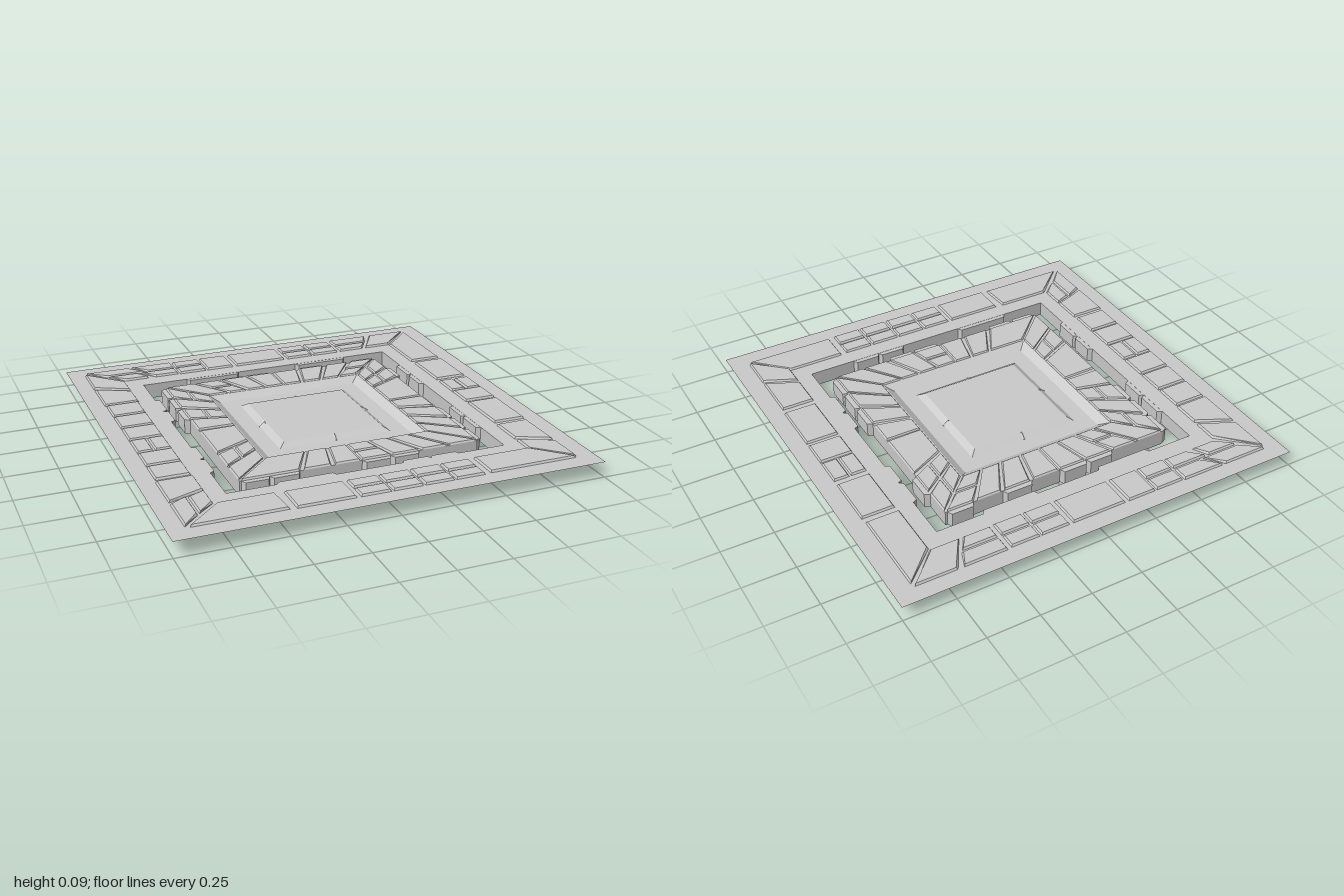
import * as THREE from 'three';

const GROUND = 0.075, TOP = 0.085;
const material = new THREE.MeshStandardMaterial({ color: 0xcccccc, flatShading: true, side: THREE.DoubleSide });

// Places (t along, r outwards) on one of the four sides, as [x, z]
const SIDES = {
  front: (t, r) => [t, r],
  back: (t, r) => [t, -r],
  left: (t, r) => [r, t],
  right: (t, r) => [-r, t],
};

function add(parent, geometry, name) {
  const mesh = new THREE.Mesh(geometry, material);
  mesh.name = name;
  parent.add(mesh);
  return mesh;
}

// Square sheet swept around y from a profile of [half width, height]
function squareSheet(parent, profile, name) {
  const points = profile.map(([r, y]) => new THREE.Vector2(r * Math.SQRT2, y));
  return add(parent, new THREE.LatheGeometry(points, 4, Math.PI / 4), name);
}

// Stone with an [x, z] outline whose upper edge is drawn in by a small bevel
function stone(parent, outline, y0, y1, bevel, name) {
  const shape = new THREE.Shape(outline.map(([x, z]) => new THREE.Vector2(x, -z)));
  const geometry = new THREE.ExtrudeGeometry(shape, { depth: y1 - y0, bevelEnabled: false });
  geometry.rotateX(-Math.PI / 2).translate(0, y0, 0);
  const cx = outline.reduce((s, p) => s + p[0], 0) / outline.length;
  const cz = outline.reduce((s, p) => s + p[1], 0) / outline.length;
  const pos = geometry.attributes.position;
  for (let i = 0; i < pos.count; i++) {
    if (pos.getY(i) < y1 - 1e-4) continue;
    const x = pos.getX(i), z = pos.getZ(i);
    pos.setX(i, x - Math.sign(x - cx) * bevel);
    pos.setZ(i, z - Math.sign(z - cz) * bevel);
  }
  geometry.computeVertexNormals();
  return add(parent, geometry, name);
}

// Paving set into the outer border: [t0, t1, rows] rectangles
const PAVING = {
  back: [[-0.45, -0.31, 2], [-0.3, -0.16, 1], [-0.14, 0.13, 1], [0.15, 0.29, 2], [0.3, 0.44, 2]],
  front: [[-0.44, -0.17, 1], [-0.15, -0.01, 2], [0, 0.14, 2], [0.15, 0.29, 2], [0.3, 0.44, 2]],
  right: [[-0.45, -0.31, 1], [-0.3, -0.16, 1], [-0.15, -0.01, 1], [0, 0.14, 2], [0.15, 0.29, 1], [0.3, 0.44, 1]],
  left: [[-0.44, -0.18, 1], [-0.15, -0.01, 2], [0, 0.14, 1], [0.16, 0.43, 1]],
};

// Slanted stones at the border corners, as [t, r] outlines
const CORNERS = {
  back: [
    [[-0.91, 0.92], [-0.69, 0.92], [-0.62, 0.84], [-0.82, 0.84]],
    [[-0.67, 0.92], [-0.46, 0.92], [-0.46, 0.84], [-0.6, 0.84]],
    [[-0.81, 0.83], [-0.66, 0.83], [-0.62, 0.76], [-0.74, 0.76]],
    [[-0.64, 0.83], [-0.46, 0.83], [-0.46, 0.76], [-0.58, 0.76]],
    [[0.46, 0.92], [0.67, 0.92], [0.64, 0.84], [0.46, 0.84]],
    [[0.46, 0.83], [0.63, 0.83], [0.59, 0.76], [0.46, 0.76]],
    [[0.7, 0.92], [0.9, 0.92], [0.75, 0.76], [0.61, 0.76]],
  ],
  front: [
    [[-0.9, 0.91], [-0.47, 0.91], [-0.48, 0.75], [-0.74, 0.75]],
    [[0.47, 0.91], [0.9, 0.91], [0.75, 0.75], [0.47, 0.75]],
  ],
  right: [
    [[-0.9, 0.92], [-0.74, 0.75], [-0.62, 0.75], [-0.7, 0.92]],
    [[-0.68, 0.92], [-0.6, 0.75], [-0.46, 0.75], [-0.46, 0.92]],
    [[0.46, 0.92], [0.46, 0.75], [0.61, 0.75], [0.67, 0.92]],
    [[0.69, 0.92], [0.65, 0.84], [0.82, 0.84], [0.9, 0.92]],
    [[0.65, 0.83], [0.62, 0.75], [0.74, 0.75], [0.81, 0.83]],
  ],
  left: [
    [[-0.9, 0.91], [-0.47, 0.91], [-0.47, 0.75], [-0.75, 0.75]],
    [[0.46, 0.91], [0.7, 0.91], [0.63, 0.75], [0.46, 0.75]],
    [[0.72, 0.91], [0.9, 0.91], [0.75, 0.75], [0.65, 0.75]],
  ],
};

// Tapered stones on the island: [t0, t1 at the rim, rows]
const RIM = {
  back: [[-0.57, -0.44, 1], [-0.42, -0.3, 2], [-0.28, -0.15, 1], [-0.14, -0.01, 1], [0, 0.13, 1], [0.15, 0.28, 1], [0.3, 0.42, 1], [0.44, 0.57, 2]],
  front: [[-0.57, -0.3, 1], [-0.28, -0.15, 1], [-0.13, -0.01, 1], [0, 0.14, 2], [0.15, 0.28, 1], [0.3, 0.42, 1], [0.44, 0.57, 1]],
  right: [[-0.57, -0.44, 2], [-0.42, -0.3, 1], [-0.28, -0.15, 2], [-0.14, -0.01, 1], [0.01, 0.27, 1], [0.29, 0.42, 2], [0.44, 0.57, 1]],
  left: [[-0.57, -0.44, 2], [-0.42, -0.3, 2], [-0.28, -0.01, 1], [0, 0.13, 1], [0.15, 0.28, 1], [0.3, 0.42, 1], [0.44, 0.57, 1]],
};

// Spans of blocks standing proud of the moat walls
const OUTER_BLOCKS = {
  back: [[-0.44, -0.16], [0.16, 0.44]],
  front: [[-0.44, -0.16], [0.16, 0.3], [0.3, 0.44]],
  right: [[-0.45, -0.3], [-0.3, -0.16], [0.16, 0.3], [0.3, 0.45]],
  left: [[-0.45, -0.3], [-0.3, -0.16], [0.16, 0.3], [0.3, 0.45]],
};
const INNER_BLOCKS = {
  back: [[-0.29, -0.15], [-0.15, -0.01], [0.14, 0.29], [0.44, 0.57]],
  front: [[-0.57, -0.44], [-0.44, -0.3], [0, 0.14], [0.14, 0.28]],
  right: [[-0.58, -0.44], [-0.44, -0.3], [-0.29, -0.15]],
  left: [[-0.44, -0.3], [0.15, 0.29], [0.29, 0.43], [0.43, 0.57]],
};

export function createModel() {
  const model = new THREE.Group();
  model.name = 'pavedMoat';
  const group = (name) => {
    const g = new THREE.Group();
    g.name = name;
    model.add(g);
    return g;
  };
  const border = group('border'), island = group('island');

  // Flat border with the moat's outer wall
  squareSheet(border, [[1, GROUND], [0.67, GROUND], [0.67, 0]], 'borderSheet');

  // Hollow island: wall, rim, sunken floor and raised middle
  squareSheet(island, [[0.58, 0], [0.58, GROUND], [0.4, GROUND], [0.36, 0.05],
    [0.28, 0.05], [0.25, 0.07], [0, 0.07]], 'islandSheet');

  for (const [side, place] of Object.entries(SIDES)) {
    const put = (points) => points.map(([t, r]) => place(t, r));

    // Border paving
    for (const [t0, t1, rows] of PAVING[side]) {
      const bands = rows === 1 ? [[0.755, 0.915]] : [[0.755, 0.83], [0.84, 0.915]];
      for (const [r0, r1] of bands)
        stone(border, put([[t0, r0], [t1, r0], [t1, r1], [t0, r1]]), GROUND, TOP, 0.006, 'pavingStone');
    }
    for (const outline of CORNERS[side])
      stone(border, put(outline), GROUND, TOP, 0.006, 'cornerStone');

    // Island rim stones, tapering towards the middle
    for (const [t0, t1, rows] of RIM[side]) {
      const bands = rows === 1 ? [[0.405, 0.58]] : [[0.405, 0.485], [0.495, 0.58]];
      for (const [r0, r1] of bands) {
        const at = (t, r) => [t * r / 0.58, r];
        stone(island, put([at(t0, r0), at(t1, r0), at(t1, r1), at(t0, r1)]), GROUND, TOP - 0.002, 0.005, 'rimStone');
      }
    }

    // Blocks on both moat walls
    const block = (parent, [t0, t1], wall, face, name) =>
      stone(parent, put([[t0, wall], [t1, wall], [t1 - 0.012, face], [t0 + 0.012, face]]), 0.003, GROUND - 0.001, 0, name);
    for (const span of OUTER_BLOCKS[side]) block(border, span, 0.67, 0.648, 'outerWallBlock');
    for (const span of INNER_BLOCKS[side]) block(island, span, 0.58, 0.605, 'innerWallBlock');

    // Small pointed joint at the middle of each raised edge
    const [x, z] = place(0, 0.255);
    const joint = add(island, new THREE.ConeGeometry(0.03, 0.024, 4), 'edgeJoint');
    joint.position.set(x, 0.062, z);
  }
  return model;
}
